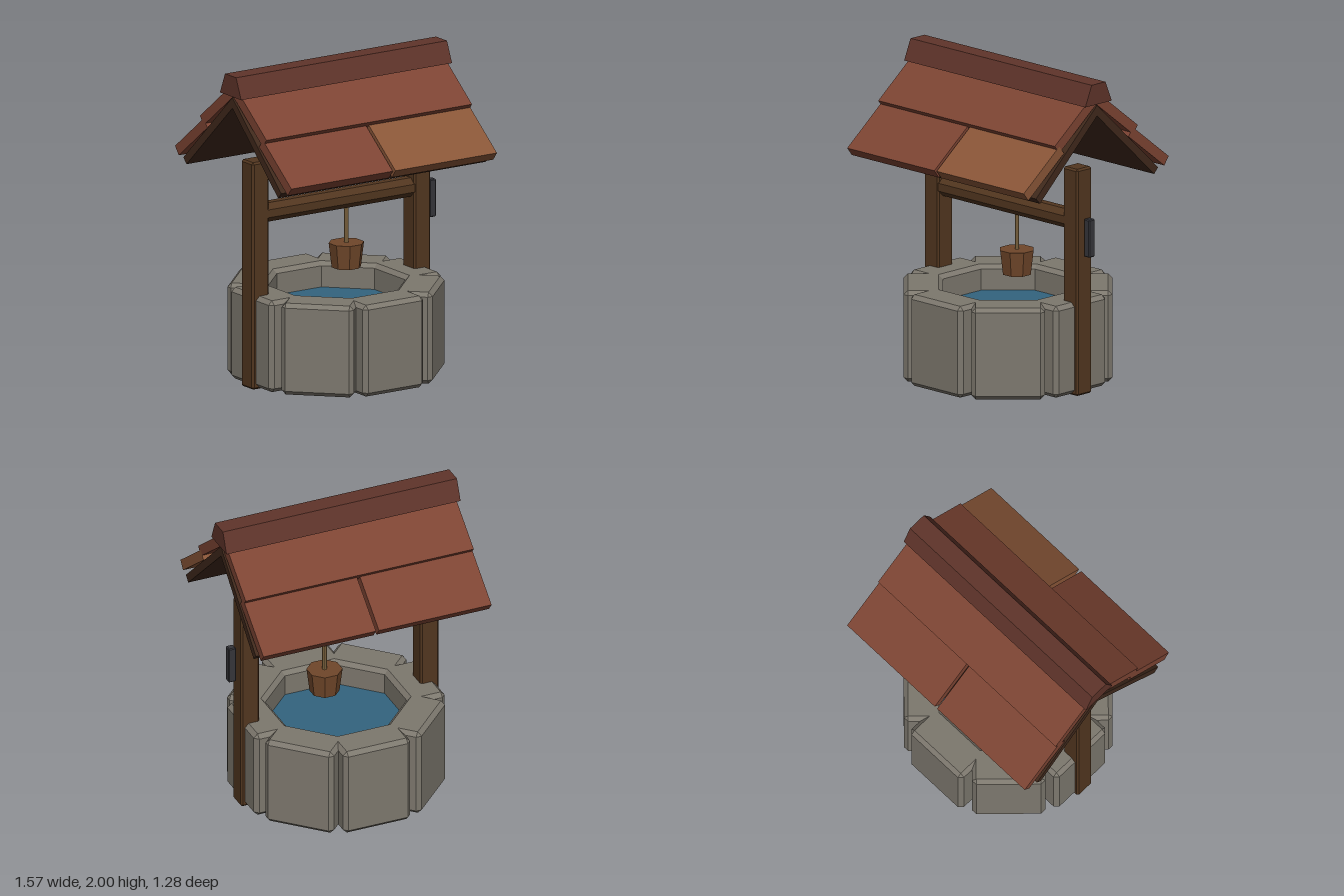
import * as THREE from 'three';
import { ConvexGeometry } from 'three/addons/geometries/ConvexGeometry.js';

const mat = (color) => new THREE.MeshStandardMaterial({ color, flatShading: true });
const stone = mat(0x7d786e), wood = mat(0x52361f), darkWood = mat(0x40291c), iron = mat(0x35353a);
const bucketWood = mat(0x70472a), ropeMat = mat(0x94774c), waterMat = mat(0x33647f);
const tile = mat(0x7d4433), lightTile = mat(0x8a5638), ridgeTile = mat(0x5f342a);

function add(parent, name, geometry, material, x = 0, y = 0, z = 0) {
  const mesh = new THREE.Mesh(geometry, material);
  mesh.name = name;
  mesh.position.set(x, y, z);
  parent.add(mesh);
  return mesh;
}

// Box with a single flat chamfer on every edge
function chamferBox(w, h, d, c) {
  const points = [];
  for (const sx of [-1, 1]) for (const sy of [-1, 1]) for (const sz of [-1, 1]) {
    const x = w / 2, y = h / 2, z = d / 2;
    points.push(
      new THREE.Vector3(sx * x, sy * (y - c), sz * (z - c)),
      new THREE.Vector3(sx * (x - c), sy * y, sz * (z - c)),
      new THREE.Vector3(sx * (x - c), sy * (y - c), sz * z));
  }
  return new ConvexGeometry(points);
}

// Eight-sided cylinder with flat sides facing the axes
function octagon(rTop, rBottom, height) {
  return new THREE.CylinderGeometry(rTop, rBottom, height, 8).rotateY(Math.PI / 8);
}

// Sloping board whose top surface runs from (z0, y0) down to (z1, y1)
function slab(parent, name, material, [z0, y0], [z1, y1], thick, x0, x1) {
  const angle = Math.atan2(y0 - y1, z1 - z0);
  const geometry = new THREE.BoxGeometry(x1 - x0, thick, Math.hypot(z1 - z0, y1 - y0));
  const board = add(parent, name, geometry, material, (x0 + x1) / 2,
    (y0 + y1) / 2 - Math.cos(angle) * thick / 2,
    (z0 + z1) / 2 - Math.sin(angle) * thick / 2);
  board.rotation.x = angle;
}

export function createModel() {
  const well = new THREE.Group();
  well.name = 'well';

  // Ring of eight stone blocks
  const ring = new THREE.Group();
  ring.name = 'stoneRing';
  well.add(ring);
  const block = chamferBox(0.45, 0.58, 0.24, 0.026);
  for (let i = 0; i < 8; i++) {
    const a = i * Math.PI / 4;
    add(ring, 'stoneBlock', block, stone, Math.sin(a) * 0.52, 0.3, Math.cos(a) * 0.52).rotation.y = a;
  }
  add(well, 'water', octagon(0.46, 0.46, 0.04), waterMat, 0, 0.41, 0);

  // Posts, winding beam and crank plate
  const post = chamferBox(0.125, 1.44, 0.13, 0.012);
  for (const s of [-1, 1]) add(well, 'post', post, wood, s * 0.6025, 0.72, 0);
  const beamRadius = 0.06 / Math.cos(Math.PI / 8);
  add(well, 'windingBeam', octagon(beamRadius, beamRadius, 1.1).rotateZ(Math.PI / 2), wood, 0, 1.1, 0);
  add(well, 'crank', chamferBox(0.05, 0.24, 0.05, 0.006), iron, 0.705, 1.005, 0);

  // Rope and bucket
  add(well, 'rope', octagon(0.014, 0.014, 0.27), ropeMat, 0.077, 0.935, 0);
  add(well, 'bucket', octagon(0.111, 0.092, 0.155), bucketWood, 0.077, 0.7375, 0);

  // Two mirrored roof slopes: underboard, upper row, split lower row
  for (const side of ['front', 'back']) {
    const slope = new THREE.Group();
    slope.name = side + 'RoofSlope';
    if (side === 'back') slope.rotation.y = Math.PI;
    well.add(slope);
    slab(slope, 'underboard', darkWood, [0, 1.86], [0.53, 1.365], 0.05, -0.772, 0.772);
    slab(slope, 'upperTiles', tile, [0.04, 1.915], [0.36, 1.665], 0.065, -0.765, 0.765);
    const lower = [[0.32, 1.657], [0.63, 1.415]];
    slab(slope, 'lowerTiles', tile, ...lower, 0.065, -0.765, -0.01);
    slab(slope, 'lowerTiles', side === 'front' ? lightTile : tile, ...lower, 0.065, 0.01, 0.765);
  }

  // Ridge cap
  const cap = new THREE.Shape([[-0.115, 1.87], [0.115, 1.87], [0.06, 2], [-0.06, 2]]
    .map(([z, y]) => new THREE.Vector2(z, y)));
  const capGeometry = new THREE.ExtrudeGeometry(cap, { depth: 1.57, bevelEnabled: false });
  capGeometry.translate(0, 0, -0.785).rotateY(Math.PI / 2);
  add(well, 'ridgeCap', capGeometry, ridgeTile);

  return well;
}
